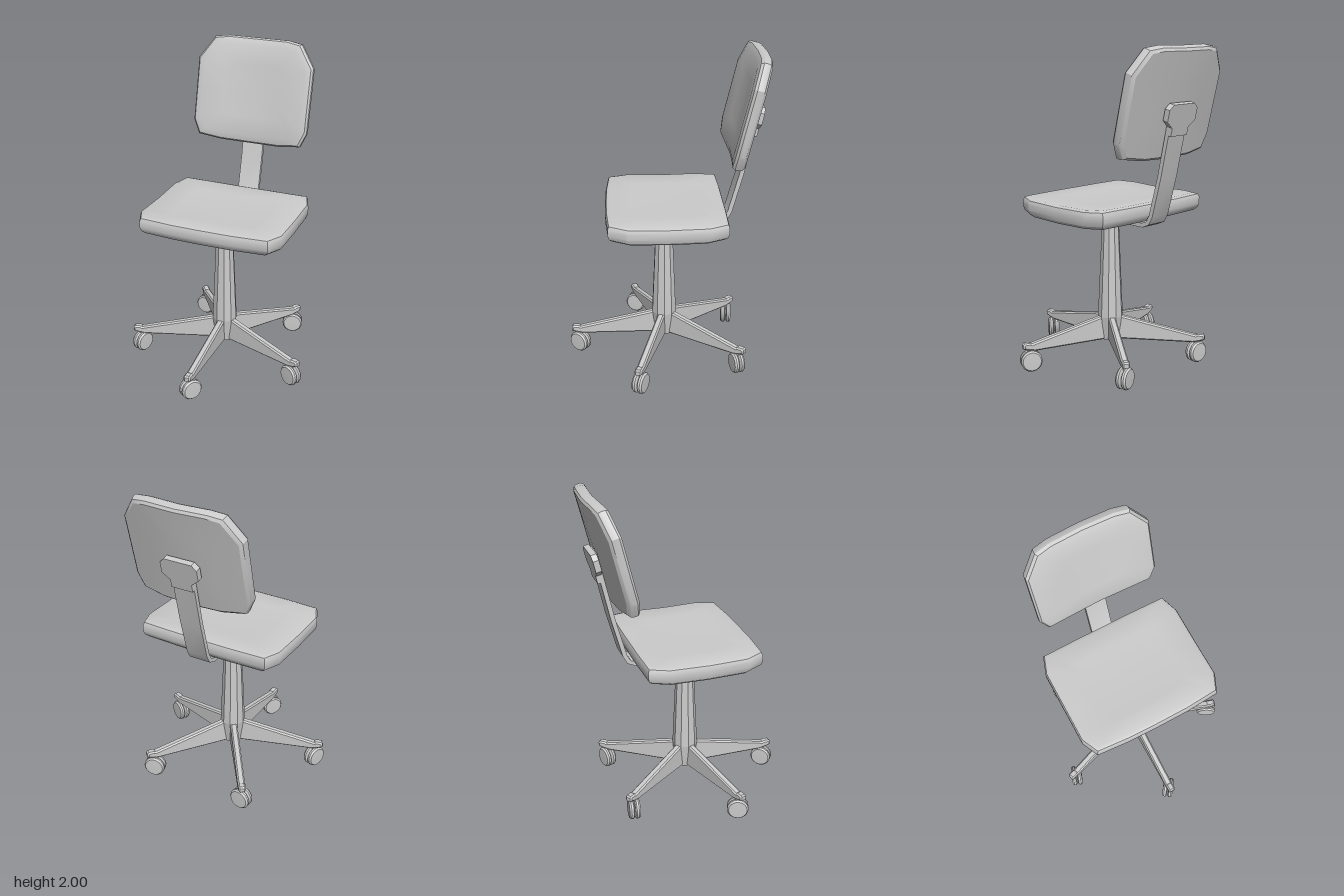
import * as THREE from 'three';
import { toCreasedNormals } from 'three/addons/utils/BufferGeometryUtils.js';

const grey = new THREE.MeshStandardMaterial({ color: 0xcccccc });

function part(parent, name, geometry, crease = 0.5) {
  const mesh = new THREE.Mesh(toCreasedNormals(geometry, crease), grey);
  mesh.name = name;
  parent.add(mesh);
  return mesh;
}

// Mirrors a half outline (x >= 0, bottom to top) into a closed counterclockwise loop
function mirrored(half) {
  return [...half, ...half.filter(p => p[0] > 0).reverse().map(([x, y]) => [-x, y])];
}

// Cushion from rings of one outline: rings are [scaleX, scaleY, height], bend shifts height
function cushion(outline, rings, bend) {
  const pos = [], index = [], n = outline.length;
  rings.forEach(([sx, sy, h]) => outline.forEach(([x, y]) => {
    pos.push(x * sx, y * sy, h + bend(x * sx, y * sy));
  }));
  for (let r = 0; r < rings.length - 1; r++) {
    for (let i = 0; i < n; i++) {
      const a = r * n + i, b = r * n + (i + 1) % n;
      index.push(a, b, b + n, a, b + n, a + n);
    }
  }
  const g = new THREE.BufferGeometry();
  g.setAttribute('position', new THREE.Float32BufferAttribute(pos, 3));
  g.setIndex(index);
  g.computeVertexNormals();
  return g;
}

// Extrudes a (z, y) side profile to a given width across x
function sideExtrude(points, width, bevel = 0) {
  const shape = new THREE.Shape(points.map(p => new THREE.Vector2(...p)));
  const g = new THREE.ExtrudeGeometry(shape, {
    depth: width - 2 * bevel, bevelEnabled: bevel > 0, bevelSegments: 1,
    bevelSize: bevel, bevelThickness: bevel, bevelOffset: -bevel
  });
  return g.translate(0, 0, bevel - width / 2).rotateY(-Math.PI / 2);
}

function buildSeat(chair) {
  const outline = mirrored([
    [0, -0.367], [0.2, -0.365], [0.415, -0.35], [0.465, -0.24], [0.465, 0],
    [0.465, 0.25], [0.425, 0.365], [0.2, 0.37], [0, 0.37]
  ]);
  const rings = [
    [0, 0, 0.944], [0.5, 0.5, 0.944], [0.94, 0.93, 0.944], [0.985, 0.98, 0.962], [1, 1, 0.985],
    [1, 1, 1.025], [0.985, 0.98, 1.045], [0.94, 0.92, 1.055], [0.6, 0.6, 1.055], [0.3, 0.3, 1.055], [0, 0, 1.055]
  ];
  const g = cushion(outline, rings, (x, y) => 0.1 * y * y + 0.02 * x * x);
  part(chair, 'seat', g.rotateX(-Math.PI / 2));
}

function buildBackrest(chair) {
  const outline = mirrored([
    [0, -0.335], [0.2, -0.333], [0.345, -0.315], [0.385, -0.225], [0.385, 0],
    [0.385, 0.18], [0.29, 0.32], [0.2, 0.335], [0, 0.335]
  ]);
  const rings = [
    [0, 0, 0], [0.5, 0.5, 0], [0.94, 0.94, 0], [0.985, 0.985, 0.012], [1, 1, 0.03],
    [1, 1, 0.055], [0.97, 0.97, 0.072], [0.87, 0.86, 0.085], [0.5, 0.5, 0.085], [0, 0, 0.085]
  ];
  const back = part(chair, 'backrest', cushion(outline, rings, x => 0.24 * x * x));
  back.position.set(0, 1.66, -0.548);
  back.rotation.x = -0.235;
}

function buildBracket(chair) {
  // Flat bar running back from under the seat and bending up behind the backrest
  const front = [[-0.05, 0.945], [-0.33, 0.945], [-0.37, 0.96], [-0.392, 1.0], [-0.457, 1.24], [-0.552, 1.67]];
  const rear = [[-0.578, 1.665], [-0.484, 1.237], [-0.418, 0.992], [-0.39, 0.942], [-0.34, 0.92], [-0.05, 0.92]];
  part(chair, 'backBracket', sideExtrude([...front, ...rear], 0.14));

  // Widened head that bolts to the backrest
  const head = new THREE.Shape(mirrored([
    [0, -0.12], [0.07, -0.12], [0.07, -0.07], [0.12, -0.03], [0.12, 0.04], [0.09, 0.07], [0, 0.07]
  ]).map(p => new THREE.Vector2(...p)));
  const plate = part(chair, 'bracketHead', new THREE.ExtrudeGeometry(head, { depth: 0.036, bevelEnabled: false }));
  plate.position.set(0, 1.6, -0.582);
  plate.rotation.x = -0.222;
}

function buildColumn(chair) {
  const mount = new THREE.Group();
  mount.name = 'seatMount';
  const turn = Math.PI / 8;
  part(mount, 'mountPlate', new THREE.CylinderGeometry(0.197, 0.19, 0.026, 8).rotateY(turn)).position.y = 0.934;
  part(mount, 'mountCone', new THREE.CylinderGeometry(0.19, 0.06, 0.016, 8).rotateY(turn), 0.05).position.y = 0.913;
  chair.add(mount);

  const twist = Math.PI / 10;
  part(chair, 'column', new THREE.CylinderGeometry(0.053, 0.08, 0.63, 10).rotateY(twist), 0.3).position.y = 0.597;
  part(chair, 'hub', new THREE.CylinderGeometry(0.08, 0.06, 0.152, 10).rotateY(twist), 0.3).position.y = 0.206;
}

function buildCaster(leg, yaw) {
  const caster = new THREE.Group();
  caster.name = 'caster';
  const profile = [[0, 0.003], [0.056, 0.003], [0.067, 0.01], [0.067, 0.023], [0.058, 0.034], [0, 0.036]]
    .map(p => new THREE.Vector2(...p));
  for (const side of [-1, 1]) {
    const wheel = new THREE.LatheGeometry(profile, 16).rotateZ(-side * Math.PI / 2);
    part(caster, 'wheel', wheel, 0.6);
  }
  part(caster, 'axle', new THREE.CylinderGeometry(0.03, 0.03, 0.02, 10).rotateZ(Math.PI / 2));
  part(caster, 'stem', new THREE.CylinderGeometry(0.016, 0.016, 0.09, 8)).position.y = 0.04;
  caster.position.set(0, 0.068, 0.55);
  caster.rotation.y = yaw;
  leg.add(caster);
}

function buildBase(chair) {
  const profile = [
    [0, 0.13], [0.53, 0.13], [0.58, 0.14], [0.605, 0.15], [0.605, 0.175], [0.595, 0.184],
    [0.56, 0.184], [0.55, 0.178], [0.07, 0.284], [0, 0.284]
  ];
  // Rolling directions (x, z) of the swivelled casters
  const rolls = [[0.6, -0.8], [0.88, 0.47], [0.96, -0.28], [1, 0.1], [0.35, -0.94]];
  rolls.forEach(([dx, dz], i) => {
    const angle = i * Math.PI * 2 / 5;
    const leg = new THREE.Group();
    leg.name = 'leg';
    part(leg, 'legArm', sideExtrude(profile, 0.046, 0.009), 0.3);
    buildCaster(leg, Math.atan2(dx, dz) - angle);
    leg.rotation.y = angle;
    chair.add(leg);
  });
}

export function createModel() {
  const chair = new THREE.Group();
  chair.name = 'officeChair';
  buildSeat(chair);
  buildBackrest(chair);
  buildBracket(chair);
  buildColumn(chair);
  buildBase(chair);
  return chair;
}
